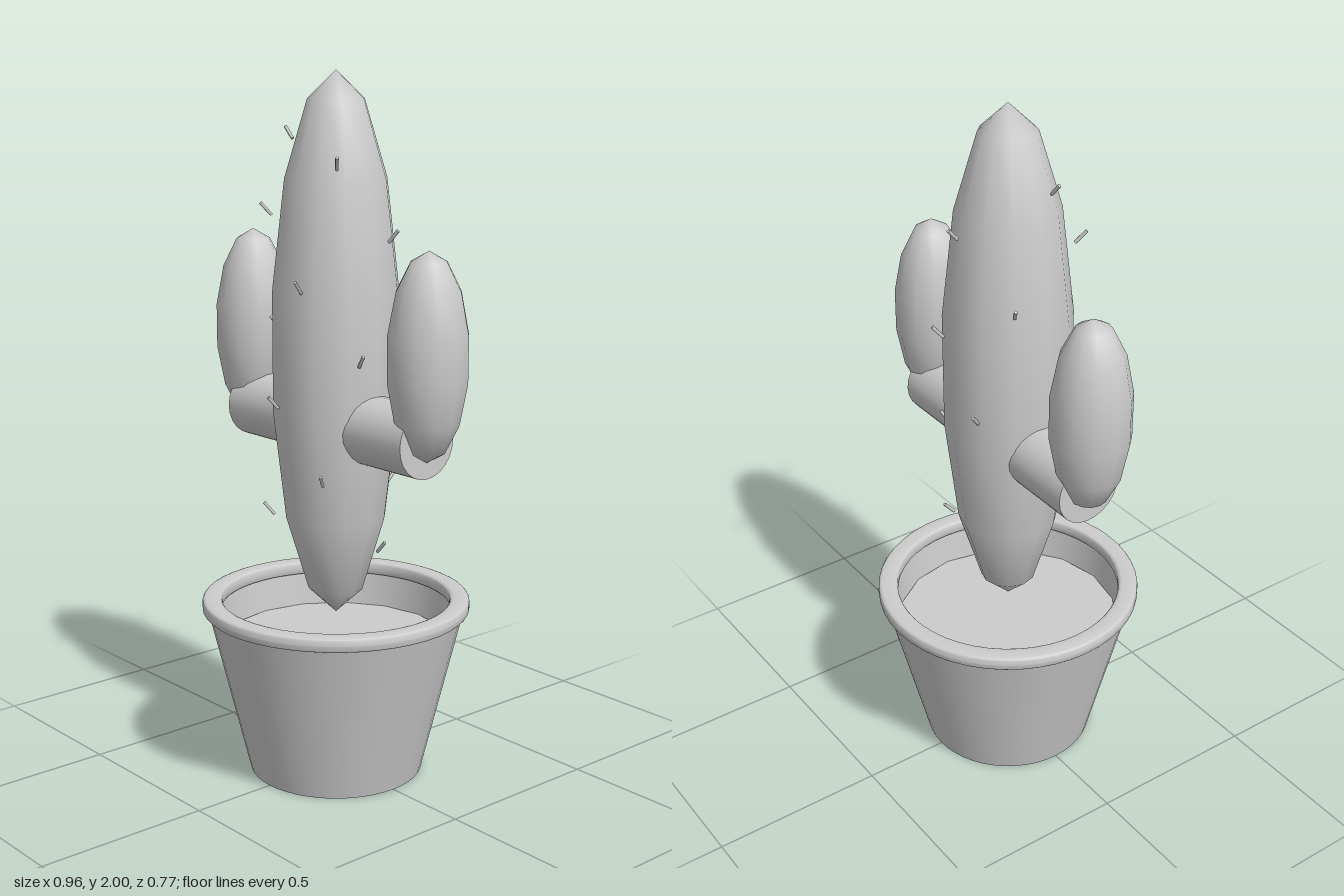
import * as THREE from 'three';

const grey = new THREE.MeshStandardMaterial({ color: 0xcccccc });
grey.name = 'plain grey';

export function createModel() {
  const model = new THREE.Group();
  model.name = 'pottedCactus';

  const add = (name, geometry, x = 0, y = 0, z = 0) => {
    const mesh = new THREE.Mesh(geometry, grey);
    mesh.name = name;
    mesh.position.set(x, y, z);
    model.add(mesh);
    return mesh;
  };
  const lathe = (points, segments) =>
    new THREE.LatheGeometry(points.map(([r, y]) => new THREE.Vector2(r, y)), segments);

  // Stretched low-segment sphere, used for the trunk and both arms
  const pod = (radius, halfHeight) => new THREE.SphereGeometry(1, 12, 7).scale(radius, halfHeight, radius);

  // Tapered pot with closed base and open inside wall
  add('potBase', new THREE.CircleGeometry(0.25, 48).rotateX(Math.PI / 2));
  add('potWall', lathe([[0.25, 0], [0.37, 0.49]], 48));
  add('potInnerWall', lathe([[0.34, 0.5], [0.325, 0.37]], 48));

  // Rim with a softly squared cross-section
  const rim = [];
  for (let i = 0; i <= 16; i++) {
    const a = (i / 16) * Math.PI * 2;
    const soft = (v) => Math.sign(v) * Math.sqrt(Math.abs(v));
    rim.push([0.356 + 0.029 * soft(Math.cos(a)), 0.499 + 0.021 * soft(Math.sin(a))]);
  }
  add('potRim', lathe(rim, 48));

  // Soil disc set below the rim
  add('soil', new THREE.CircleGeometry(0.327, 16).rotateX(-Math.PI / 2), 0, 0.385, 0);

  // Trunk
  add('trunk', pod(0.1835, 0.766), 0, 1.234, 0);

  // Mirrored arms, each a sideways branch and an upright pod
  for (const [side, s] of [['left', 1], ['right', -1]]) {
    add(side + 'Branch', new THREE.CylinderGeometry(0.098, 0.098, 0.37, 24).rotateZ(Math.PI / 2), s * 0.185, 1.031, 0);
    add(side + 'Arm', pod(0.113, 0.283), s * 0.37, 1.262, 0);
  }

  // Spines climb the trunk in a golden-angle spiral, leaning out and up
  const spine = new THREE.CylinderGeometry(0.005, 0.005, 0.045, 6);
  const up = new THREE.Vector3(0, 1, 0);
  for (let i = 0; i < 18; i++) {
    const a = THREE.MathUtils.degToRad(i * 137.5);
    const x = Math.cos(a), z = Math.sin(a);
    add('spine', spine, 0.192 * x, 0.705 + i * 0.066, 0.192 * z)
      .quaternion.setFromUnitVectors(up, new THREE.Vector3(x, 1.1, z).normalize());
  }

  return model;
}
